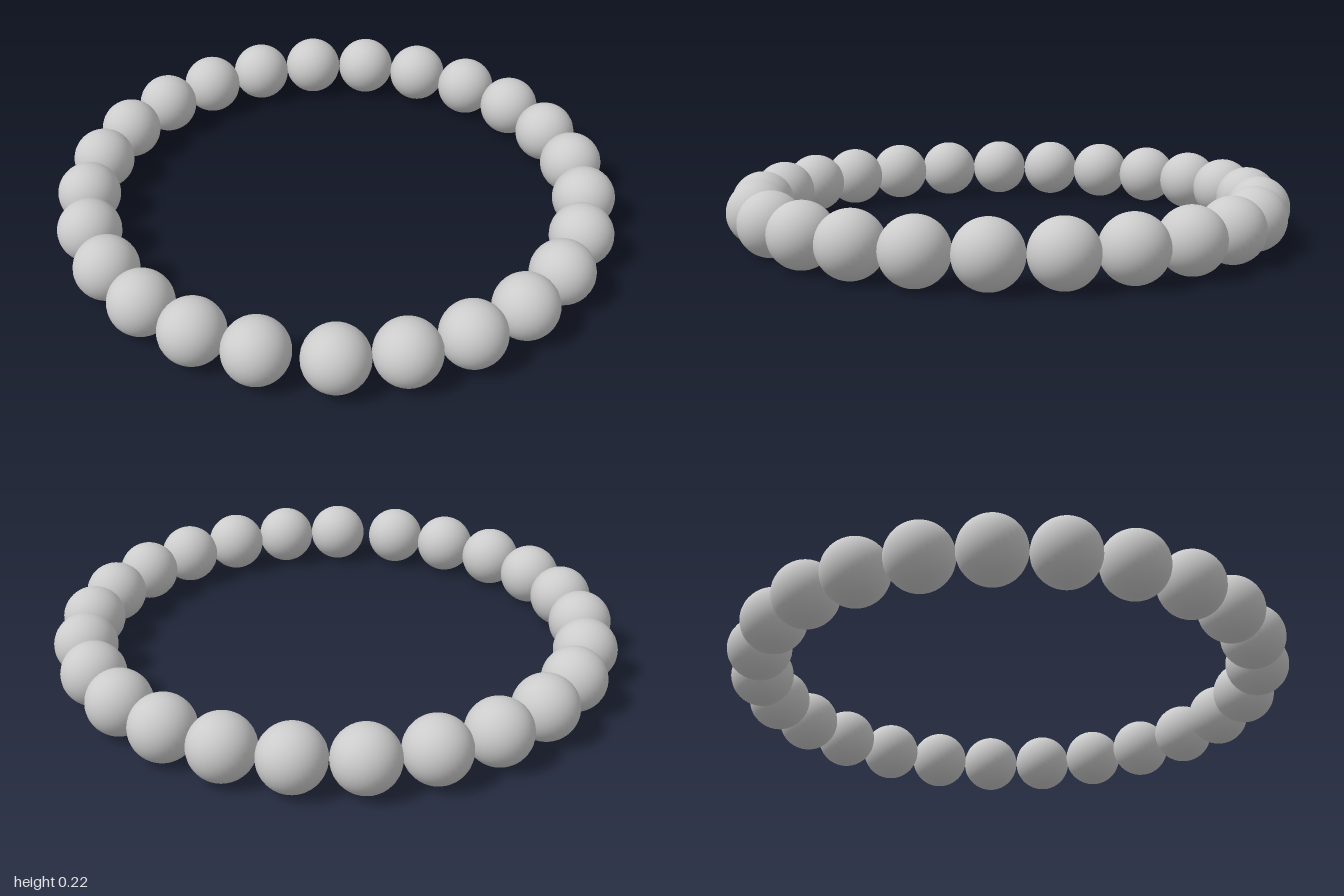
import * as THREE from 'three';

const BEADS = 25;
const BEAD_RADIUS = 0.111;
const STEP = THREE.MathUtils.degToRad(14.335); // touching beads, small gap before the last closes the ring
const RING_RADIUS = 0.889;
const RING_Z = -0.003;

export function createModel() {
  const bracelet = new THREE.Group();
  bracelet.name = 'beadBracelet';
  const material = new THREE.MeshStandardMaterial({ color: 0xcccccc });
  const geometry = new THREE.SphereGeometry(BEAD_RADIUS, 32, 32);

  // Beads run from the front round by -x, the back and +x
  for (let i = 0; i < BEADS; i++) {
    const angle = -i * STEP;
    const bead = new THREE.Mesh(geometry, material);
    bead.name = `bead${i + 1}`;
    bead.position.set(
      RING_RADIUS * Math.sin(angle),
      BEAD_RADIUS,
      RING_Z + RING_RADIUS * Math.cos(angle)
    );
    bead.rotation.y = angle;
    bracelet.add(bead);
  }
  return bracelet;
}
